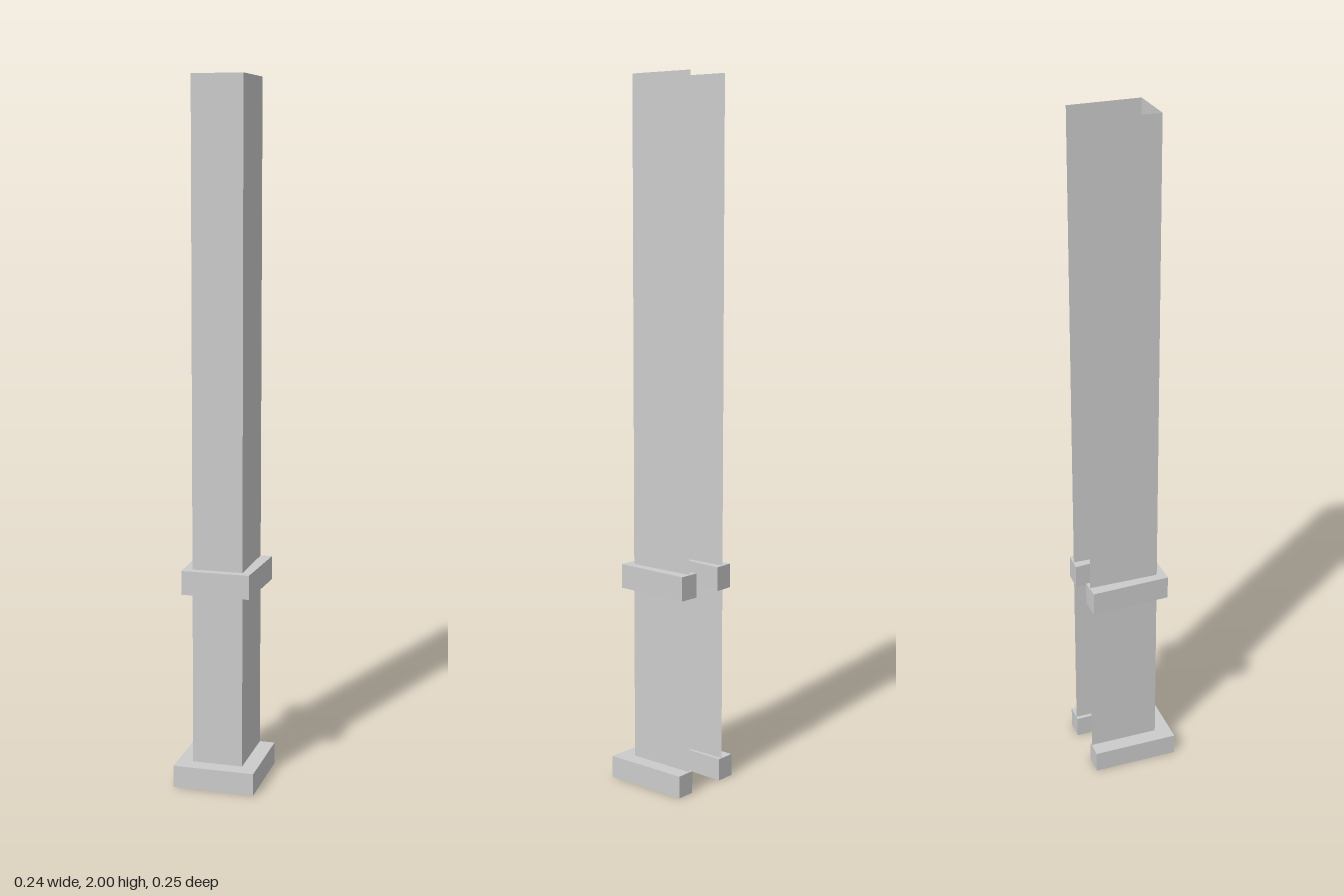
import * as THREE from 'three';

const solid = new THREE.MeshStandardMaterial({ color: 0xcccccc, flatShading: true });
const sheet = new THREE.MeshStandardMaterial({ color: 0xcccccc, flatShading: true, side: THREE.DoubleSide });

// Solid U-shaped moulding, open at the back. Each corner is [x, z] on the +x side:
// outer back, outer front, inner front, inner back.
function moulding(name, outerBack, outerFront, innerFront, innerBack, y, height) {
  const half = [outerBack, outerFront, innerFront, innerBack];
  const [ob, of, inf, inb] = half.map(([x, z]) => new THREE.Vector2(x, -z));
  const flip = (p) => new THREE.Vector2(-p.x, p.y);
  const shape = new THREE.Shape([ob, inb, inf, flip(inf), flip(inb), flip(ob), flip(of), of]);
  const geometry = new THREE.ExtrudeGeometry(shape, { depth: height, bevelEnabled: false });
  geometry.rotateX(-Math.PI / 2);
  const mesh = new THREE.Mesh(geometry, solid);
  mesh.name = name;
  mesh.position.y = y;
  return mesh;
}

// Thin upright wall
function wall(name, width, height, x, z, turn) {
  const mesh = new THREE.Mesh(new THREE.PlaneGeometry(width, height), sheet);
  mesh.name = name;
  mesh.position.set(x, height / 2, z);
  mesh.rotation.y = turn;
  return mesh;
}

export function createModel() {
  const model = new THREE.Group();
  model.name = 'pilaster';

  // Hollow shaft: front and two sides, no back and no cap
  const w = 0.073, front = 0.08, back = -0.125, height = 2;
  const shaft = new THREE.Group();
  shaft.name = 'shaft';
  shaft.add(wall('shaftFront', 2 * w, height, 0, front, 0));
  for (const s of [1, -1]) {
    shaft.add(wall(s > 0 ? 'shaftLeft' : 'shaftRight', front - back, height,
      s * w, (front + back) / 2, s * Math.PI / 2));
  }
  model.add(shaft);

  // Plinth at the foot
  model.add(moulding('base', [0.118, -0.126], [0.118, 0.127], [0.067, 0.075], [0.061, -0.126], 0, 0.064));

  // Collar band, its arms widening toward the back
  model.add(moulding('collar', [0.107, -0.126], [0.098, 0.105], [0.066, 0.073], [0.046, -0.128], 0.566, 0.069));

  return model;
}
